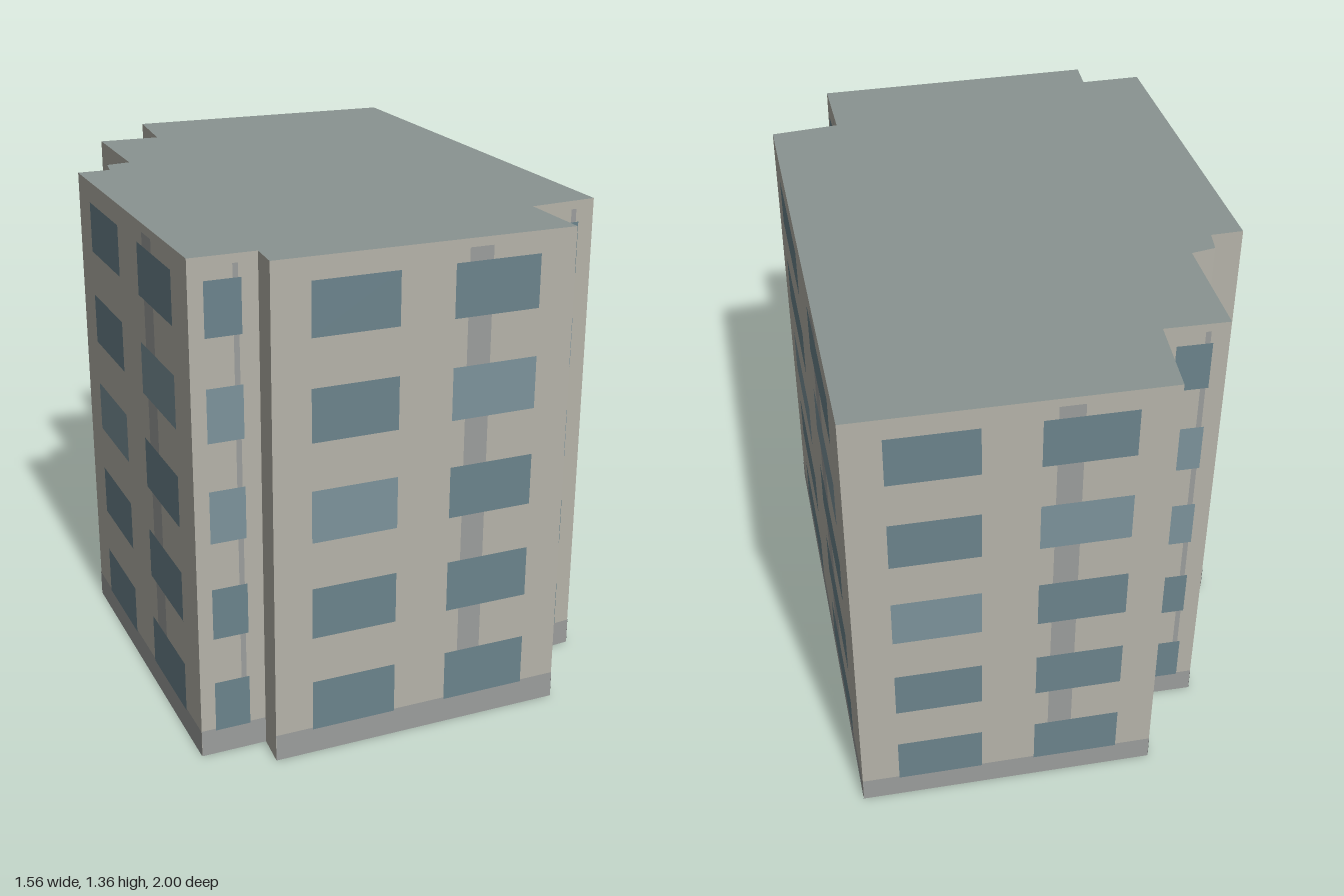
import * as THREE from 'three';

const HEIGHT = 1.36, FLOORS = 5, PLINTH = 0.075;

// Footprint corners (x, z); seen from outside, each wall runs left to right
const FOOTPRINT = [
  [-0.06, -1], [-0.75, -0.53], [-0.63, -0.33], [-0.78, -0.23], [-0.59, 0.04],
  [-0.64, 0.09], [-0.61, 0.15], [-0.685, 0.205], [-0.105, 0.995], [0.04, 0.89],
  [0.09, 0.97], [0.76, 0.49], [0.63, 0.31], [0.78, 0.18],
];

const paint = (color) => new THREE.MeshStandardMaterial({ color, side: THREE.DoubleSide });

export function createModel() {
  const model = new THREE.Group();
  model.name = 'apartmentBlock';
  const wallMat = paint(0xb5b3a9), trimMat = paint(0x9b9d9c), roofMat = paint(0x8a9491);
  const glassMat = paint(0x6b838c), paleGlassMat = paint(0x7c939b);

  // Upright panel in a wall's own frame: u along the wall, y up, lifted off its face
  function panel(parent, name, material, u0, u1, y0, y1, lift) {
    const mesh = new THREE.Mesh(new THREE.PlaneGeometry(u1 - u0, y1 - y0), material);
    mesh.position.set((u0 + u1) / 2, (y0 + y1) / 2, lift);
    mesh.name = name;
    parent.add(mesh);
  }

  FOOTPRINT.forEach(([x0, z0], i) => {
    const [x1, z1] = FOOTPRINT[(i + 1) % FOOTPRINT.length];
    const length = Math.hypot(x1 - x0, z1 - z0);
    const side = new THREE.Group();
    side.name = 'facade' + (i + 1);
    side.position.set(x0, 0, z0);
    side.rotation.y = Math.atan2(z0 - z1, x1 - x0);
    model.add(side);
    panel(side, 'wall', wallMat, 0, length, 0, HEIGHT, 0);
    if (length < 0.15) return; // short returns stay blank

    // Plinth band and vertical strip
    panel(side, 'plinth', trimMat, 0, length, 0, PLINTH, 0.001);
    panel(side, 'strip', trimMat, 0.635 * length, 0.715 * length, PLINTH, 1.337, 0.001);

    // Window grid: two columns on long walls, one on short walls
    const columns = length > 0.5 ? [[0.125, 0.41], [0.59, 0.878]] : [[0.22, 0.755]];
    for (let floor = 0; floor < FLOORS; floor++) {
      const y = 0.07 + floor * HEIGHT / FLOORS;
      columns.forEach(([a, b], c) => {
        const pale = floor === 3 ? c === columns.length - 1 : floor === 2 && c === 0;
        panel(side, 'window', pale ? paleGlassMat : glassMat, a * length, b * length, y, y + 0.143, 0.002);
      });
    }
  });

  // Flat roof; the underside is open
  const outline = new THREE.Shape(FOOTPRINT.map(([x, z]) => new THREE.Vector2(x, -z)));
  const roof = new THREE.Mesh(new THREE.ShapeGeometry(outline).rotateX(-Math.PI / 2), roofMat);
  roof.position.y = HEIGHT;
  roof.name = 'roof';
  model.add(roof);
  return model;
}
